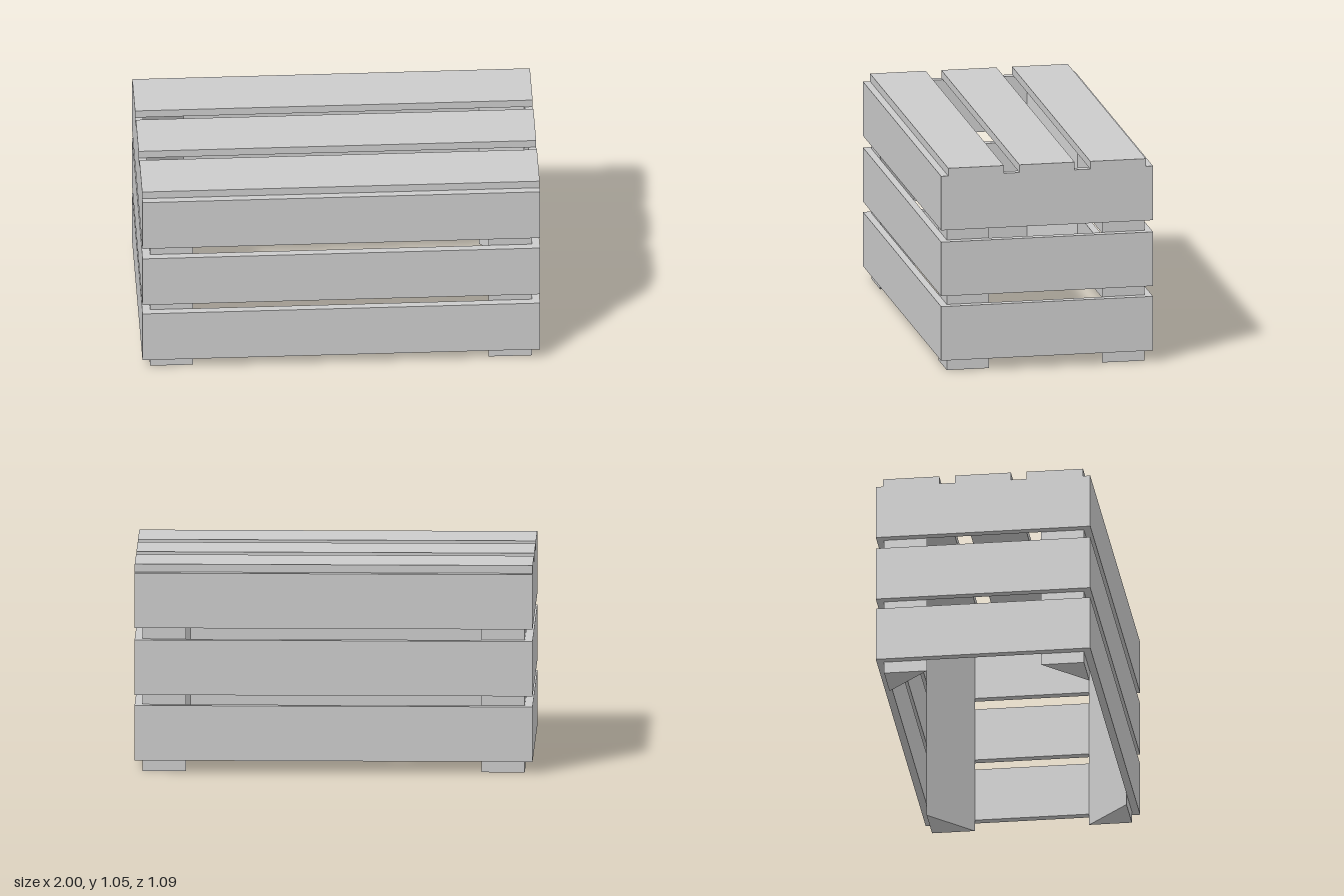
import * as THREE from 'three';

export function createModel() {
  const crate = new THREE.Group();
  crate.name = 'slattedCrate';
  const material = new THREE.MeshStandardMaterial({ color: 0xcccccc, flatShading: true });

  const add = (name, geometry, x, y, z) => {
    const mesh = new THREE.Mesh(geometry, material);
    mesh.name = name;
    mesh.position.set(x, y, z);
    crate.add(mesh);
  };

  const innerX = 0.96, innerZ = 0.506, outerZ = 0.543;
  const slatHeight = 0.28, wallTop = 1.015;

  // Three rows of wall slats: long ones front and back, short ones between them
  const longSlat = new THREE.BoxGeometry(2, slatHeight, outerZ - innerZ);
  const endSlat = new THREE.BoxGeometry(1 - innerX, slatHeight, innerZ * 2);
  for (const y of [0.2, 0.534, 0.875]) {
    for (const s of [1, -1]) {
      add(s > 0 ? 'frontSlat' : 'backSlat', longSlat, 0, y, s * (innerZ + outerZ) / 2);
      add(s > 0 ? 'leftEndSlat' : 'rightEndSlat', endSlat, s * (1 + innerX) / 2, y, 0);
    }
  }

  // Lid boards resting on the walls
  const lidThickness = 0.04;
  for (const [z, width] of [[0.364, 0.285], [0, 0.283], [-0.364, 0.285]]) {
    add('lidBoard', new THREE.BoxGeometry(2, lidThickness, width), 0, wallTop + lidThickness / 2, z);
  }

  // Triangular corner posts, which also serve as feet
  const leg = 0.217;
  for (const sx of [1, -1]) {
    for (const sz of [1, -1]) {
      const triangle = new THREE.Shape([
        new THREE.Vector2(sx * innerX, -sz * innerZ),
        new THREE.Vector2(sx * (innerX - leg), -sz * innerZ),
        new THREE.Vector2(sx * innerX, -sz * (innerZ - leg)),
      ]);
      const post = new THREE.ExtrudeGeometry(triangle, { depth: wallTop, bevelEnabled: false });
      post.rotateX(-Math.PI / 2);
      add('cornerPost', post, 0, 0, 0);
    }
  }

  return crate;
}
